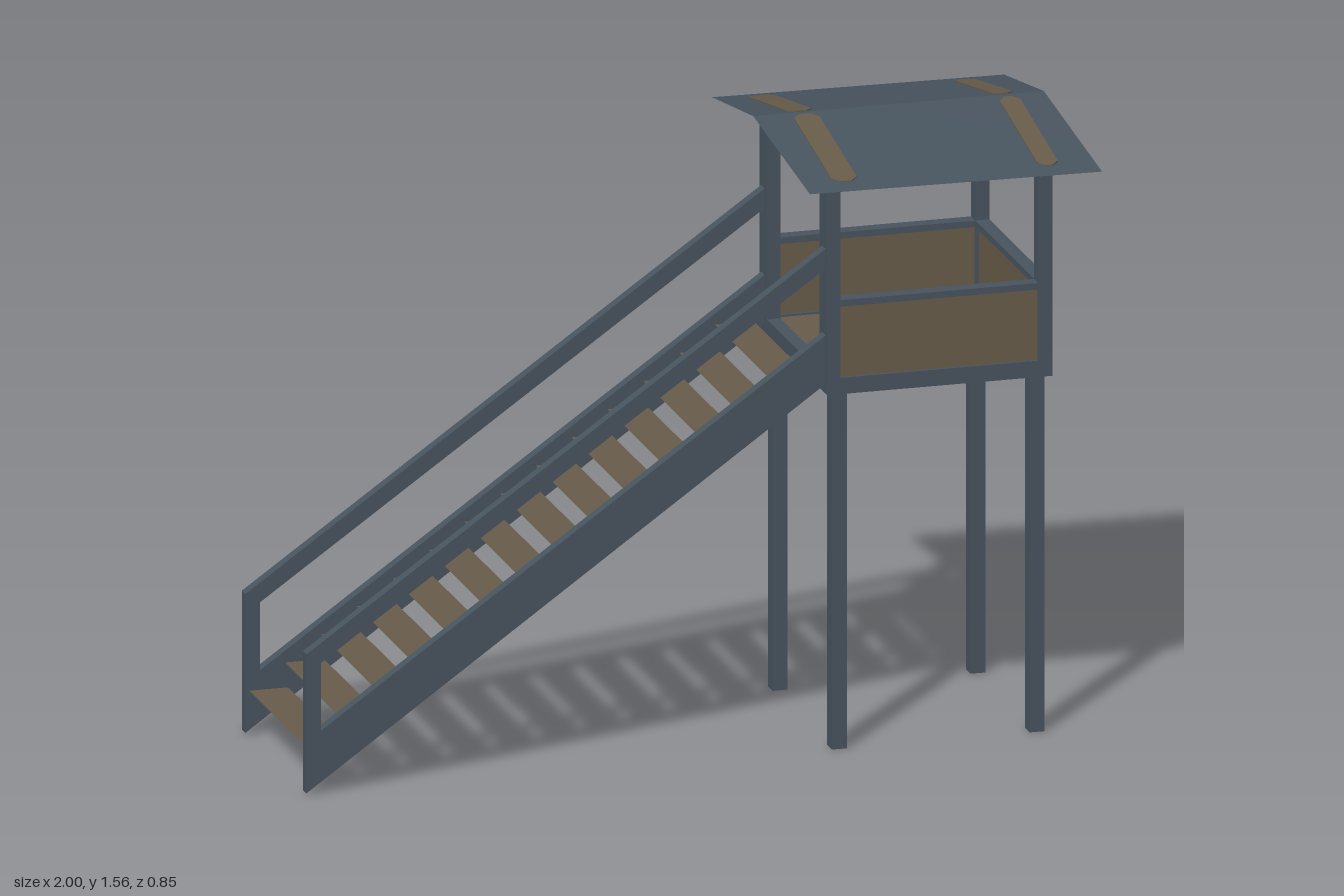
import * as THREE from 'three';

export function createModel() {
  const model = new THREE.Group();
  model.name = 'watchtower';

  const slate = new THREE.MeshStandardMaterial({ color: 0x47535e, side: THREE.DoubleSide });
  slate.name = 'slate blue frame';
  const wood = new THREE.MeshStandardMaterial({ color: 0x675b49, side: THREE.DoubleSide });
  wood.name = 'brown board';

  const add = (name, geometry, material) => {
    const mesh = new THREE.Mesh(geometry, material);
    mesh.name = name;
    model.add(mesh);
    return mesh;
  };
  // Box given by its limits on each axis
  const box = (name, material, [x0, x1], [y0, y1], [z0, z1]) =>
    add(name, new THREE.BoxGeometry(x1 - x0, y1 - y0, z1 - z0), material)
      .position.set((x0 + x1) / 2, (y0 + y1) / 2, (z0 + z1) / 2);
  // Limits mirrored to side s
  const side = (s, a, b) => (s > 0 ? [a, b] : [-b, -a]);
  // Side outline in x and y, extruded along z
  const slab = (name, points, z0, z1) => {
    const shape = new THREE.Shape(points.map(([x, y]) => new THREE.Vector2(x, y)));
    add(name, new THREE.ExtrudeGeometry(shape, { depth: z1 - z0, bevelEnabled: false }), slate)
      .position.z = z0;
  };

  // Platform: floor boards inside a beam frame
  box('floor', wood, [0.365, 0.875], [0.925, 0.955], [-0.255, 0.255]);
  box('entryBeam', slate, [0.333, 0.368], [0.918, 0.96], [-0.255, 0.255]);
  box('endBeam', slate, [0.876, 0.912], [0.918, 0.96], [-0.255, 0.255]);

  // End wall, opposite the stairs
  box('endPanel', wood, [0.885, 0.904], [0.96, 1.145], [-0.255, 0.255]);
  box('endRail', slate, [0.876, 0.912], [1.143, 1.16], [-0.255, 0.255]);

  for (const s of [1, -1]) {
    // Legs
    for (const x of [0.35, 0.858]) box('leg', slate, [x, x + 0.038], [0, 0.918], side(s, 0.236, 0.278));

    // Corner posts, broader beside the stair opening
    box('entryPost', slate, [0.333, 0.368], [0.918, 1.5], side(s, 0.229, 0.292));
    box('endPost', slate, [0.876, 0.912], [0.918, 1.5], side(s, 0.255, 0.292));

    // Side walls
    box('sideBeam', slate, [0.368, 0.876], [0.918, 0.96], side(s, 0.255, 0.292));
    box('sidePanel', wood, [0.368, 0.876], [0.96, 1.145], side(s, 0.264, 0.283));
    box('sideRail', slate, [0.368, 0.876], [1.143, 1.16], side(s, 0.255, 0.292));

    // Stair stringers and handrails with upright ends
    const [z0, z1] = side(s, 0.25, 0.28);
    slab('stringer', [[-1, 0.005], [0.335, 0.945], [0.335, 1.07], [-1, 0.137]], z0, z1);
    slab('handrail', [[-1, 0.312], [0.335, 1.242], [0.335, 1.293], [-1, 0.363]], z0, z1);
    box('handrailPost', slate, [-1, -0.963], [0.12, 0.34], [z0, z1]);
  }

  // Open stair treads, one board each
  for (let i = 0; i < 14; i++) {
    const tread = new THREE.PlaneGeometry(0.1, 0.5).rotateX(-Math.PI / 2);
    add('tread', tread, wood).position.set(-0.94 + i * 0.092, 0.113 + i * 0.0645, 0);
  }

  // Roof: two sheets meeting at the ridge, with slightly slanted ends
  const roofY = (x, z) => 1.56 - (0.078 + 0.009 * (x - 0.25)) * Math.abs(z) / 0.425;
  for (const s of [1, -1]) {
    const corners = [[0.23, 0], [0.25, 0.425 * s], [1, 0.425 * s], [0.976, 0]];
    const roof = new THREE.BufferGeometry();
    roof.setAttribute('position', new THREE.Float32BufferAttribute(
      corners.flatMap(([x, z]) => [x, roofY(x, z), z]), 3));
    roof.setIndex(s > 0 ? [0, 1, 2, 0, 2, 3] : [0, 2, 1, 0, 3, 2]);
    roof.computeVertexNormals();
    add('roofSheet', roof, slate);

    // Rafter strips with chamfered ends, showing on both faces of the sheet
    for (const [x0, x1] of [[0.325, 0.39], [0.853, 0.906]]) {
      const c = 0.018, a = 0.015, b = 0.375;
      const outline = [[x0 + c, a], [x1 - c, a], [x1, a + c], [x1, b - c],
        [x1 - c, b], [x0 + c, b], [x0, b - c], [x0, a + c]];
      const strip = new THREE.ExtrudeGeometry(
        new THREE.Shape(outline.map(([x, z]) => new THREE.Vector2(x, z * s))),
        { depth: 0.005, bevelEnabled: false });
      strip.rotateX(Math.PI / 2);
      const p = strip.attributes.position;
      for (let i = 0; i < p.count; i++) {
        p.setY(i, p.getY(i) + 0.0025 + roofY(p.getX(i), p.getZ(i)));
      }
      strip.computeVertexNormals();
      add('rafterStrip', strip, wood);
    }
  }

  return model;
}
